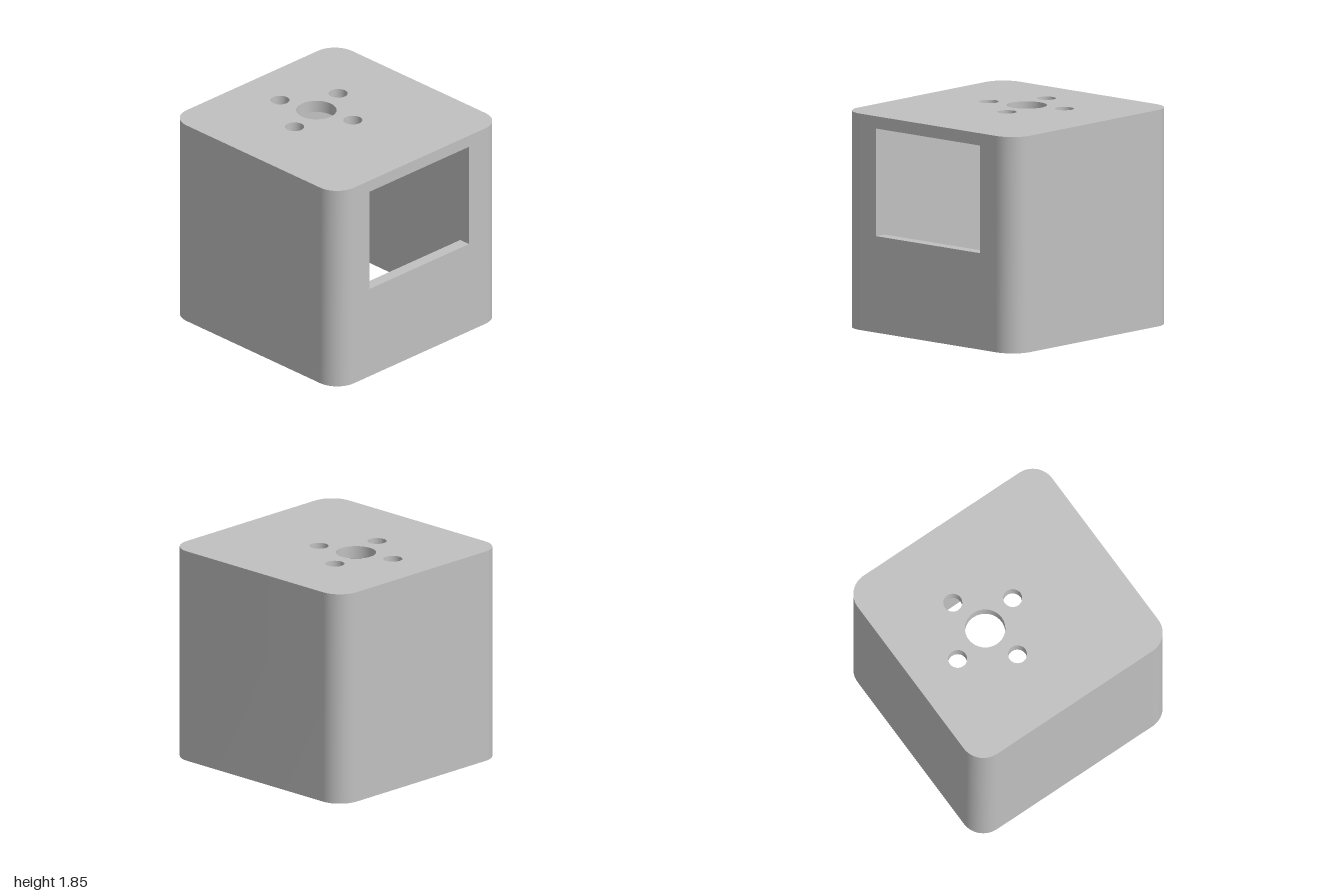
import * as THREE from 'three';
import { toCreasedNormals } from 'three/addons/utils/BufferGeometryUtils.js';

const W = 0.975, D = 1, H = 1.85, R = 0.2;      // outer half width, half depth, height, corner radius
const IX = 0.868, IZ = 0.895, CEIL = 1.745;     // cavity half width, half depth, ceiling height
const BX = 0.745, BZ = 0.77, BR = 0.15, BH = 0.25; // boss centre, radius, height
const HOLE = 0.08;                              // screw hole radius
const WIN = { l: -0.59, r: 0.585, b: 0.825, t: CEIL };

const V = (x, y) => new THREE.Vector2(x, y);

// Points along an arc, angles in degrees
function arc(cx, cy, r, from, to, n) {
  return Array.from({ length: n + 1 }, (_, i) => {
    const a = THREE.MathUtils.degToRad(from + (to - from) * i / n);
    return V(cx + r * Math.cos(a), cy + r * Math.sin(a));
  });
}
const circle = (cx, cy, r) => arc(cx, cy, r, 0, 360, 40);

// Flat face in the XY plane with optional holes
function sheet(points, holes, z, flip) {
  const shape = new THREE.Shape(points);
  shape.holes = holes.map((h) => new THREE.Path(h));
  const g = new THREE.ShapeGeometry(shape);
  if (flip) {
    g.index.array.reverse();
    g.computeVertexNormals();
  }
  return g.translate(0, 0, z);
}

// Wall swept along Z from a polyline; faces outward for a counter-clockwise line
function band(points, z0, z1) {
  const pos = [];
  for (let i = 0; i < points.length - 1; i++) {
    const a = points[i], b = points[i + 1];
    pos.push(a.x, a.y, z0, b.x, b.y, z0, b.x, b.y, z1);
    pos.push(a.x, a.y, z0, b.x, b.y, z1, a.x, a.y, z1);
  }
  const g = new THREE.BufferGeometry();
  g.setAttribute('position', new THREE.Float32BufferAttribute(pos, 3));
  return toCreasedNormals(g, Math.PI / 6);
}
const bore = (points, z0, z1) => band([...points].reverse(), z0, z1);
const closed = (points) => [...points, points[0]];
const rect = (l, r, b, t) => [V(l, b), V(r, b), V(r, t), V(l, t)];

// Repeat a first-quadrant corner in quadrant (sx, sy), keeping counter-clockwise order
function mirrored(points, sx, sy) {
  const p = points.map((v) => V(v.x * sx, v.y * sy));
  return sx * sy < 0 ? p.reverse() : p;
}
const quadrants = [[1, -1], [1, 1], [-1, 1], [-1, -1]];

export function createModel() {
  const model = new THREE.Group();
  model.name = 'housing';
  const grey = new THREE.MeshStandardMaterial({ color: 0xc0c0c0 });
  grey.name = 'grey';

  const add = (name, geometry, upright = false) => {
    if (!upright) geometry.rotateX(-Math.PI / 2); // plan shapes: y becomes -z, depth becomes height
    const mesh = new THREE.Mesh(geometry, grey);
    mesh.name = name;
    model.add(mesh);
  };

  // Plan outlines
  const outerCorner = arc(W - R, D - R, R, 0, 90, 16);
  const outer = quadrants.flatMap(([sx, sy]) => mirrored(outerCorner, sx, sy));
  const bossEdge = [V(IX, BZ - BR), ...arc(BX, BZ, BR, 270, 180, 12), V(BX - BR, IZ)];
  const lowerCavity = quadrants.flatMap(([sx, sy]) => mirrored(bossEdge, sx, sy));
  const screwHoles = quadrants.map(([sx, sy]) => circle(BX * sx, BZ * sy, HOLE));

  // Outer walls and the front face with its window
  const windowFrame = rect(WIN.l, WIN.r, WIN.b, WIN.t);
  add('outerWall', band(outer, 0, H));
  add('frontFace', sheet(rect(-(W - R), W - R, 0, H), [windowFrame], D), true);
  add('windowReveal', bore(closed(windowFrame), IZ, D), true);

  // Cavity walls above the bosses, notched at the front for the window
  add('innerWall', bore([V(IX, -IZ), V(IX, IZ), V(-IX, IZ), V(-IX, -IZ)], BH, CEIL));
  add('innerFrontFace', sheet([
    V(-IX, BH), V(IX, BH), V(IX, CEIL), V(WIN.r, CEIL),
    V(WIN.r, WIN.b), V(WIN.l, WIN.b), V(WIN.l, CEIL), V(-IX, CEIL),
  ], [], IZ, true), true);

  // Lid with a centre hole and four turned mounting holes
  const cy = 0.235;
  const lidHoles = [circle(0, cy, 0.17)];
  for (let i = 0; i < 4; i++) {
    const a = THREE.MathUtils.degToRad(14.5 + 90 * i);
    lidHoles.push(circle(0.357 * Math.cos(a), cy + 0.357 * Math.sin(a), HOLE));
  }
  add('lidTop', sheet(outer, lidHoles, H));
  add('ceiling', sheet(rect(-IX, IX, -IZ, IZ), lidHoles, CEIL, true));
  lidHoles.forEach((h, i) => add(i ? 'mountingHole' : 'centreHole', bore(h, CEIL, H)));

  // Bottom rim, lower cavity wall and corner bosses
  add('bottomRim', sheet(outer, [lowerCavity, ...screwHoles], 0, true));
  add('lowerCavityWall', bore(closed(lowerCavity), 0, BH));
  quadrants.forEach(([sx, sy], i) => {
    const top = mirrored([...bossEdge, V(IX, IZ)], sx, sy);
    add('bossTop', sheet(top, [screwHoles[i]], BH));
    add('screwHole', bore(screwHoles[i], 0, BH));
  });

  return model;
}
